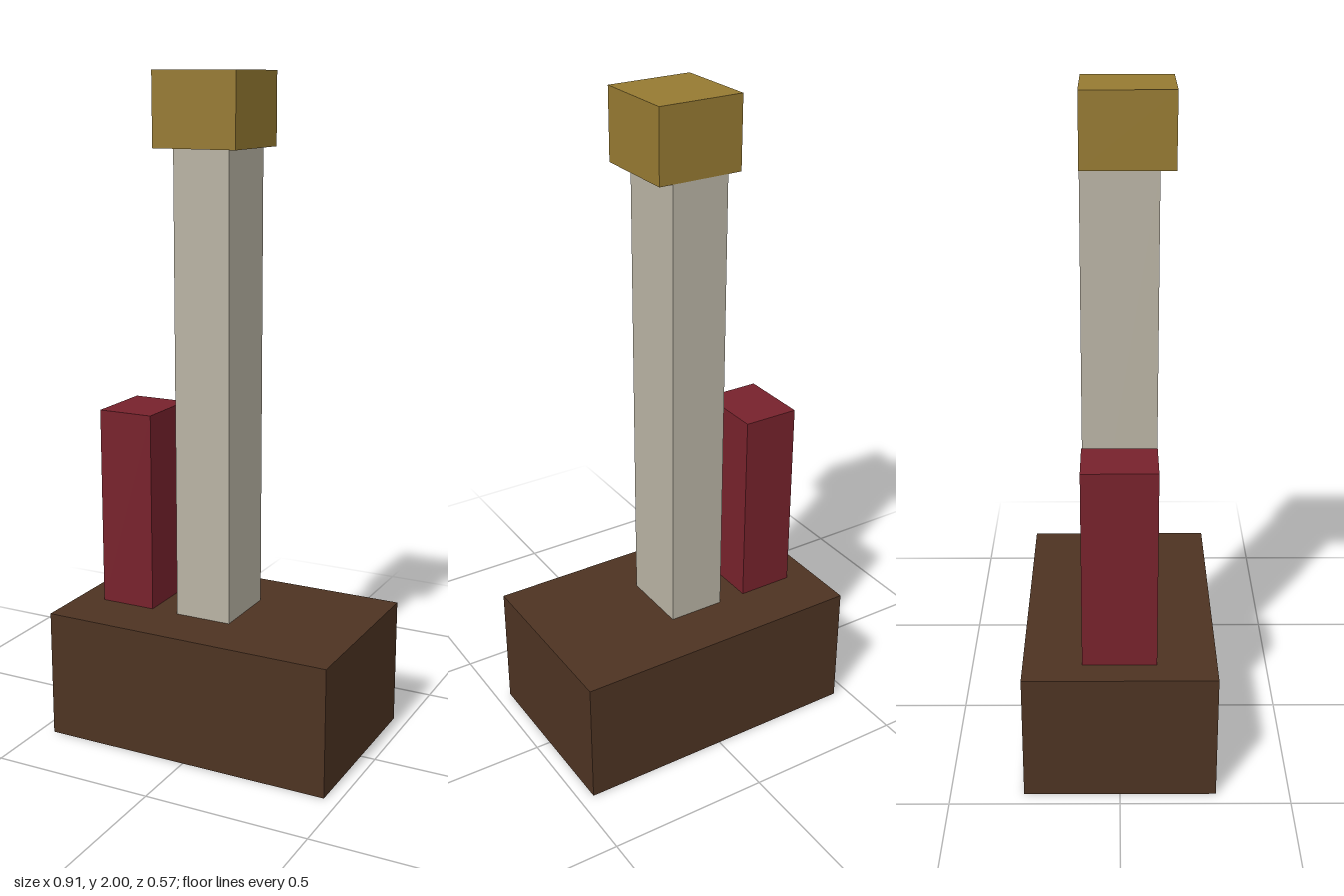
import * as THREE from 'three';

export function createModel() {
  const model = new THREE.Group();
  const mat = (name, color) => {
    const m = new THREE.MeshStandardMaterial({ color });
    m.name = name;
    return m;
  };
  const brown = mat('dark brown', 0x4d3322);
  brown.side = THREE.DoubleSide; // the base is a thin open shell
  const stone = mat('pale stone', 0xb9b3a4);
  const gold = mat('old gold', 0x967a32);
  const red = mat('deep red', 0x77222c);

  // Box given by its lower and upper corners
  function block(name, material, [x0, y0, z0], [x1, y1, z1]) {
    const geo = new THREE.BoxGeometry(x1 - x0, y1 - y0, z1 - z0);
    geo.translate((x0 + x1) / 2, (y0 + y1) / 2, (z0 + z1) / 2);
    const mesh = new THREE.Mesh(geo, material);
    mesh.name = name;
    model.add(mesh);
    return mesh;
  }

  // Hollow base: drop the box's bottom face
  const base = block('base', brown, [-0.455, 0, -0.283], [0.455, 0.392, 0.283]);
  const faces = Array.from(base.geometry.index.array);
  faces.splice(18, 6);
  base.geometry.setIndex(faces);
  base.geometry.clearGroups();

  // Tall post with its offset cap
  block('post', stone, [-0.11, 0.392, -0.11], [0.066, 1.787, 0.11]);
  block('cap', gold, [-0.153, 1.787, -0.11], [0.108, 2, 0.153]);

  // Short side post
  block('sidePost', red, [-0.371, 0.392, -0.11], [-0.197, 1.002, 0.108]);

  return model;
}
